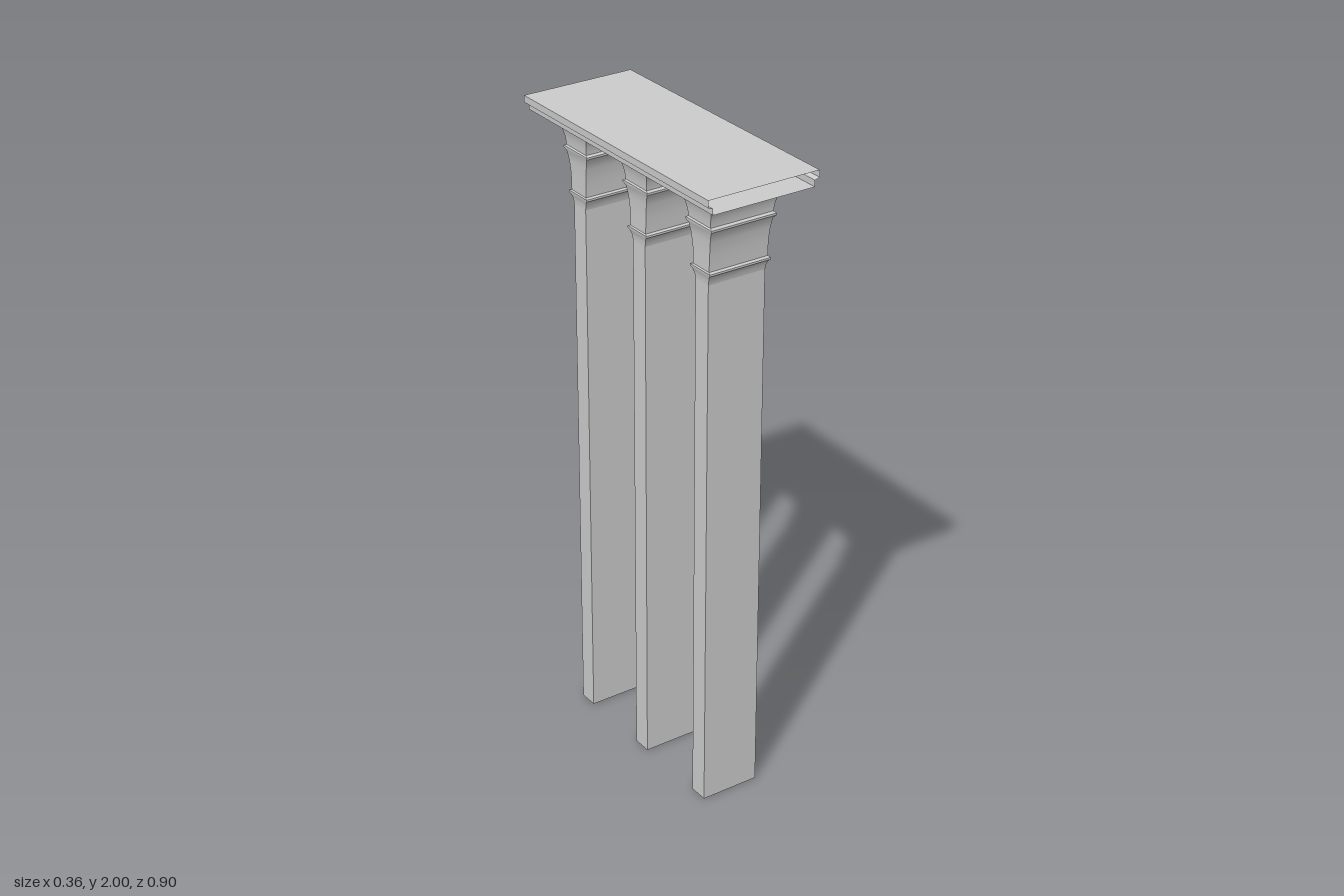
import * as THREE from 'three';
import { toCreasedNormals } from 'three/addons/utils/BufferGeometryUtils.js';

const material = new THREE.MeshStandardMaterial({ color: 0xcccccc, side: THREE.DoubleSide });

// Open skin through rectangular rings, each [halfX, y, halfZ]
function rectLoft(rings) {
  const positions = [], index = [];
  for (const [x, y, z] of rings) {
    positions.push(x, y, z, x, y, -z, -x, y, -z, -x, y, z);
  }
  for (let r = 0; r < rings.length - 1; r++) {
    for (let i = 0; i < 4; i++) {
      const a = r * 4 + i, b = r * 4 + (i + 1) % 4;
      index.push(a, b, b + 4, a, b + 4, a + 4);
    }
  }
  const geometry = new THREE.BufferGeometry();
  geometry.setAttribute('position', new THREE.Float32BufferAttribute(positions, 3));
  geometry.setIndex(index);
  return toCreasedNormals(geometry, 0.7);
}

// Open-ended sleeve: closed outline [x, y] swept along z
function sweepZ(outline, halfLength) {
  const positions = [], index = [], n = outline.length;
  for (const z of [-halfLength, halfLength]) {
    for (const [x, y] of outline) positions.push(x, y, z);
  }
  for (let i = 0; i < n; i++) {
    const j = (i + 1) % n;
    index.push(i, j, j + n, i, j + n, i + n);
  }
  const geometry = new THREE.BufferGeometry();
  geometry.setAttribute('position', new THREE.Float32BufferAttribute(positions, 3));
  geometry.setIndex(index);
  return toCreasedNormals(geometry, 0.5);
}

export function createModel() {
  const group = new THREE.Group();

  // Flat shaft, open at the foot
  const shaft = rectLoft([
    [0.094, 0, 0.03], [0.094, 1.69, 0.03],
  ]);

  // Two flared tiers with thin beads, under a narrow top band
  const capital = rectLoft([
    [0.094, 1.69, 0.03], [0.095, 1.705, 0.033], [0.098, 1.717, 0.039],
    [0.101, 1.723, 0.046], [0.101, 1.729, 0.046], [0.097, 1.732, 0.037],
    [0.097, 1.78, 0.039], [0.099, 1.82, 0.044], [0.102, 1.847, 0.051],
    [0.107, 1.857, 0.06], [0.107, 1.863, 0.06], [0.103, 1.867, 0.051],
    [0.105, 1.89, 0.054], [0.109, 1.91, 0.06], [0.116, 1.927, 0.07],
    [0.125, 1.94, 0.083], [0.122, 1.943, 0.077], [0.122, 1.955, 0.077],
  ]);

  for (const z of [-0.302, 0, 0.302]) {
    const column = new THREE.Group();
    column.name = 'column';
    for (const [name, geometry] of [['shaft', shaft], ['capital', capital]]) {
      const mesh = new THREE.Mesh(geometry, material);
      mesh.name = name;
      column.add(mesh);
    }
    column.position.z = z;
    group.add(column);
  }

  // Stepped lintel, hollow and open at both ends
  const half = [[0.165, 1.955], [0.165, 1.974], [0.18, 1.979], [0.18, 2]];
  const outline = [...half, ...half.map(([x, y]) => [-x, y]).reverse()];
  const lintel = new THREE.Mesh(sweepZ(outline, 0.45), material);
  lintel.name = 'lintel';
  group.add(lintel);

  return group;
}
